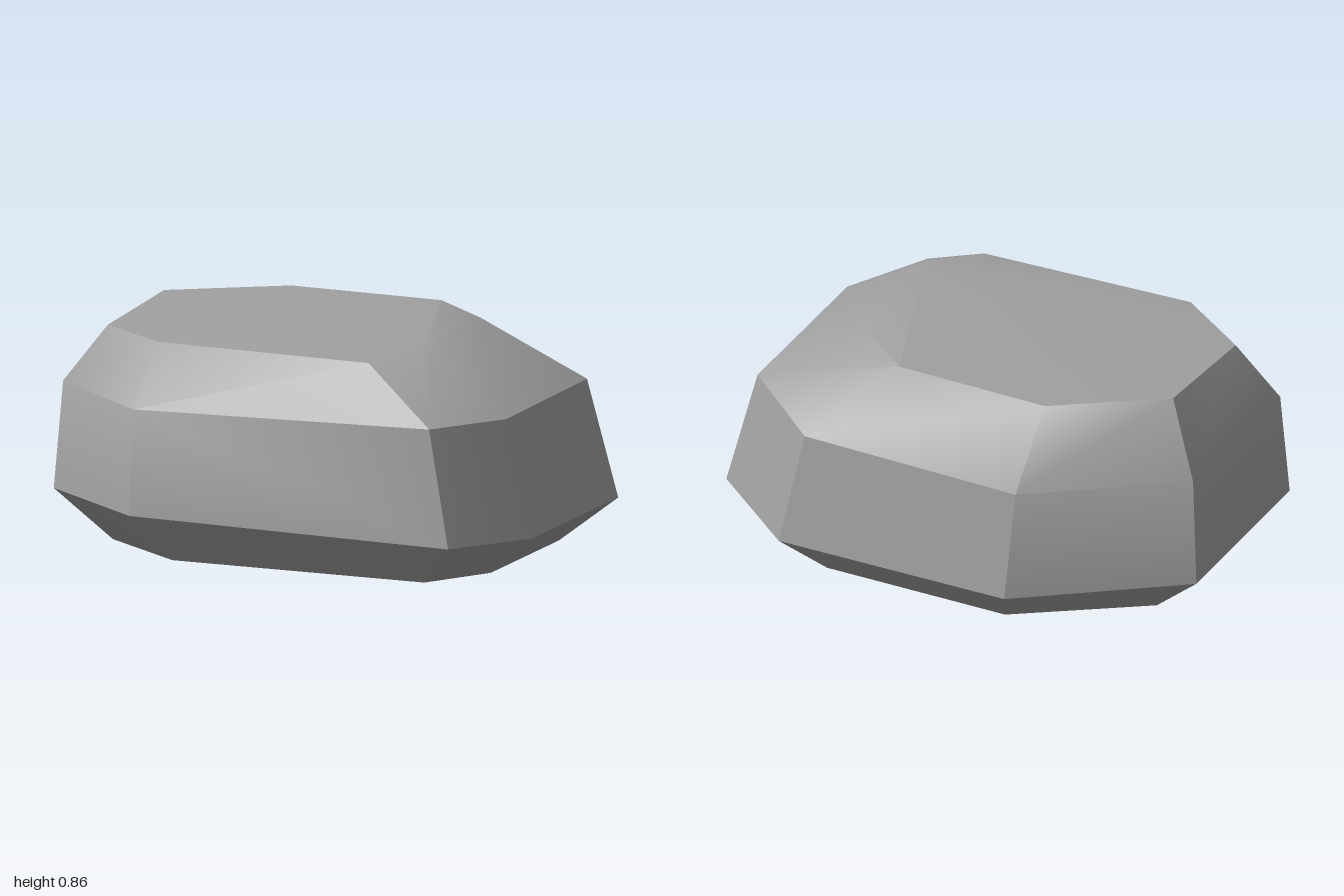
import * as THREE from 'three';
import { toCreasedNormals } from 'three/addons/utils/BufferGeometryUtils.js';

// Outline rings of the boulder, eight [x, y, z] corners each, clockwise from above
const belly = [
  [-0.31, 0.17, -0.78], [0.64, 0.165, -0.70], [1.0, 0.165, -0.35], [0.95, 0.165, 0.46],
  [0.73, 0.17, 0.78], [-0.57, 0.19, 0.70], [-1.0, 0.195, 0.34], [-0.94, 0.185, -0.42],
];
const shoulder = [
  [-0.33, 0.595, -0.72], [0.56, 0.605, -0.64], [0.89, 0.62, -0.31], [0.84, 0.61, 0.44],
  [0.64, 0.615, 0.74], [-0.57, 0.59, 0.66], [-0.97, 0.605, 0.32], [-0.91, 0.60, -0.38],
];
const crown = [
  [-0.35, 0.855, -0.48], [0.27, 0.855, -0.42], [0.51, 0.85, -0.19], [0.48, 0.845, 0.35],
  [0.33, 0.81, 0.55], [-0.53, 0.82, 0.50], [-0.81, 0.82, 0.27], [-0.77, 0.855, -0.24],
];
// The foot is the belly outline drawn in and flattened to the ground
const foot = belly.map(([x, , z]) => [x * 0.79, 0, z * 0.79]);

function buildRock(rings) {
  const n = rings[0].length;
  const index = [];
  // Bands between neighbouring rings
  for (let r = 0; r < rings.length - 1; r++) {
    for (let i = 0; i < n; i++) {
      const j = (i + 1) % n;
      const a = r * n + i, b = r * n + j, c = a + n, d = b + n;
      if (r < 2) index.push(b, a, d, a, c, d);
      else index.push(b, a, c, b, c, d);
    }
  }
  // Flat underside and gently tilted top, each a fan from one corner
  const top = (rings.length - 1) * n, hub = 3;
  for (let k = 1; k < n - 1; k++) {
    const p = (hub + k) % n, q = (hub + k + 1) % n;
    index.push(hub, p, q);
    index.push(top + hub, top + q, top + p);
  }
  const geometry = new THREE.BufferGeometry();
  geometry.setAttribute('position', new THREE.Float32BufferAttribute(rings.flat(2), 3));
  geometry.setIndex(index);
  // Soft shading over shallow bends, sharp edges elsewhere
  return toCreasedNormals(geometry, THREE.MathUtils.degToRad(33));
}

export function createModel() {
  const stone = new THREE.MeshStandardMaterial({ color: 0xa0a0a0 });
  stone.name = 'grey stone';

  const boulder = new THREE.Mesh(buildRock([foot, belly, shoulder, crown]), stone);
  boulder.name = 'boulder';

  const model = new THREE.Group();
  model.name = 'rock';
  model.add(boulder);
  return model;
}
